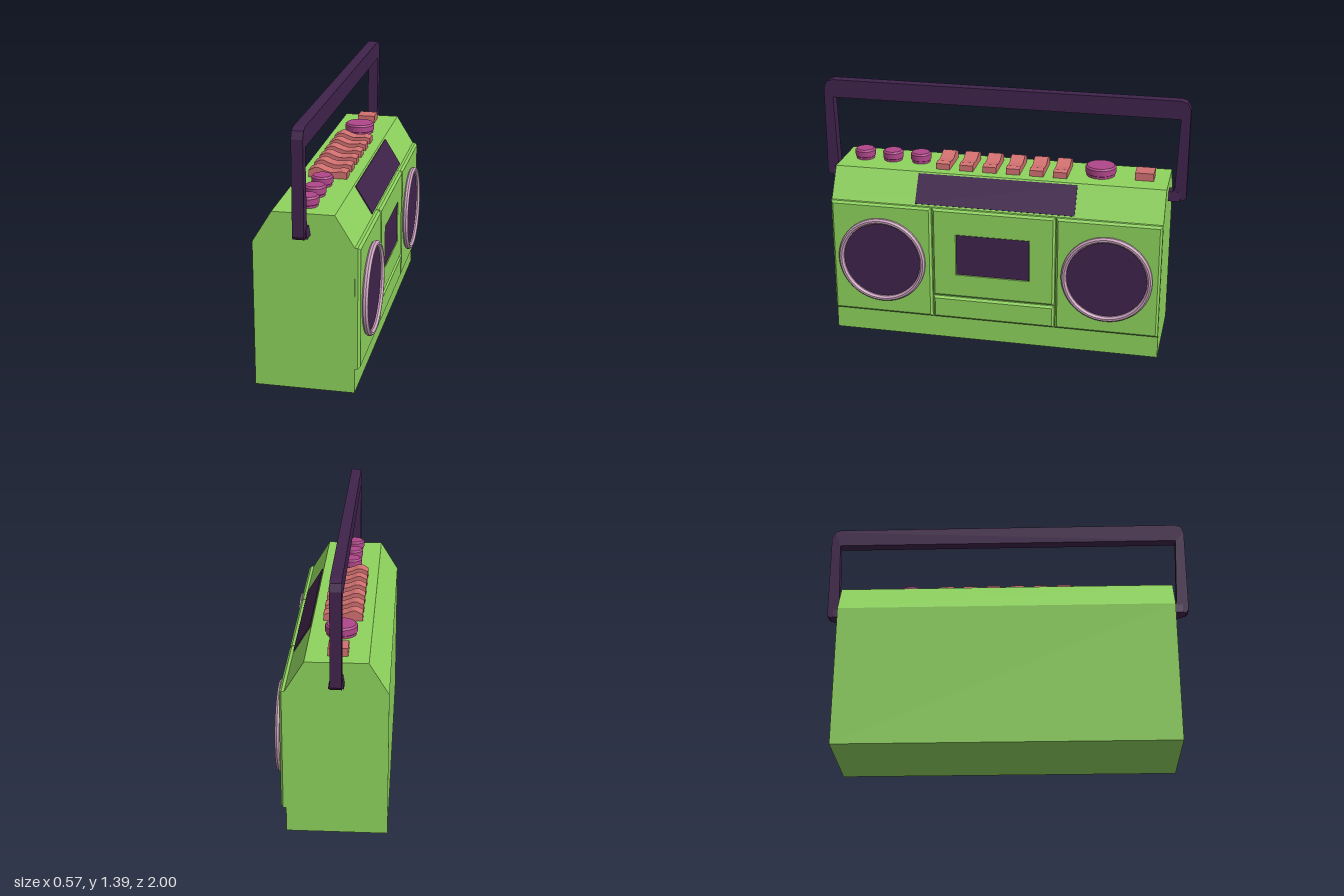
import * as THREE from 'three';
import { toCreasedNormals } from 'three/addons/utils/BufferGeometryUtils.js';

const mat = (name, color) => {
  const m = new THREE.MeshStandardMaterial({ color });
  m.name = name;
  return m;
};

const polygon = (pts) => new THREE.Shape(pts.map(([x, y]) => new THREE.Vector2(x, y)));

// Side profile (x, y) swept along z, centred on z
const sweepZ = (pts, length, z = 0) =>
  new THREE.ExtrudeGeometry(polygon(pts), { depth: length, bevelEnabled: false })
    .translate(0, 0, z - length / 2);

const rect = (z0, z1, y0, y1) => [[z0, y0], [z1, y0], [z1, y1], [z0, y1]];

export function createModel() {
  const group = new THREE.Group();
  group.name = 'portableRadio';

  const green = mat('caseGreen', 0x8fd45e);
  const dark = mat('darkPurple', 0x40234c);
  const salmon = mat('keySalmon', 0xd27070);
  const magenta = mat('knobMagenta', 0xb0468a);
  const pink = mat('ringPink', 0xc9a2bd);

  const add = (name, geometry, material, x = 0, y = 0, z = 0) => {
    const m = new THREE.Mesh(geometry, material);
    m.name = name;
    m.position.set(x, y, z);
    group.add(m);
    return m;
  };

  // Case with sloped shoulders
  add('case', sweepZ([
    [-0.285, 0.004], [0.228, 0.004], [0.228, 0.783], [0.13, 0.943], [-0.185, 0.943], [-0.285, 0.78],
  ], 1.81), green);

  // Raised front panels with bevelled edges, optionally with an opening
  const panel = (name, z0, z1, y0, y1, opening) => {
    const b = 0.012;
    const shape = polygon(rect(-z1 + b, -z0 - b, y0 + b, y1 - b));
    if (opening) {
      const pts = rect(...opening).map(([a, c]) => new THREE.Vector2(a, c));
      shape.holes.push(new THREE.Path(pts.reverse()));
    }
    const g = new THREE.ExtrudeGeometry(shape, {
      depth: 0.03, bevelEnabled: true, bevelSize: b, bevelThickness: b, bevelSegments: 1,
    });
    add(name, g.rotateY(Math.PI / 2), green, 0.213);
  };
  panel('leftSpeakerPanel', 0.342, 0.904, 0.135, 0.783);
  panel('rightSpeakerPanel', -0.904, -0.342, 0.135, 0.783);
  panel('cassetteDoor', -0.338, 0.338, 0.268, 0.783, [-0.207, 0.202, 0.403, 0.642]);
  panel('lowerFrontPanel', -0.338, 0.338, 0.135, 0.264);

  // Cassette window
  add('cassetteWindow', new THREE.BoxGeometry(0.008, 0.24, 0.41), dark, 0.248, 0.522, 0.002);

  // Tuning display lying on the front slope
  const slope = Math.atan2(0.098, 0.16);
  const display = add('tuningDisplay', new THREE.BoxGeometry(0.008, 0.168, 0.87), dark, 0.18, 0.8633);
  display.rotation.z = slope;

  // Speakers
  const ringProfile = [
    [0.235, 0], [0.245, 0.012], [0.245, 0.024], [0.236, 0.035], [0.226, 0.035], [0.216, 0.024], [0.216, 0],
  ].map(([r, h]) => new THREE.Vector2(r, h));
  for (const side of [1, -1]) {
    const label = side > 0 ? 'left' : 'right';
    const ring = toCreasedNormals(new THREE.LatheGeometry(ringProfile, 48), 0.5);
    add(label + 'SpeakerRing', ring.rotateZ(-Math.PI / 2), pink, 0.25, 0.46, side * 0.62);
    const grille = new THREE.CylinderGeometry(0.218, 0.218, 0.014, 48);
    add(label + 'SpeakerGrille', grille.rotateZ(-Math.PI / 2), dark, 0.259, 0.46, side * 0.62);
  }

  // Tape keys with a wavy top
  const keyProfile = [
    [-0.13, 0.935], [0.075, 0.935], [0.075, 0.976], [0.045, 0.983], [0.02, 0.978], [-0.015, 0.976],
    [-0.045, 0.985], [-0.075, 0.998], [-0.095, 0.998], [-0.13, 0.98],
  ];
  for (let i = 0; i < 6; i++) {
    add('tapeKey' + (i + 1), sweepZ(keyProfile, 0.075, 0.315 - i * 0.129), salmon);
  }
  add('powerButton', new THREE.BoxGeometry(0.1, 0.05, 0.1), salmon, -0.03, 0.96, -0.775);

  // Round knobs with a chamfered top and slimmer foot
  const knob = (name, r, z) => {
    const pts = [[r - 0.006, -0.01], [r - 0.006, 0.012], [r, 0.016], [r, 0.047], [r - 0.009, 0.056], [0, 0.056]]
      .map(([a, b]) => new THREE.Vector2(a, b));
    add(name, toCreasedNormals(new THREE.LatheGeometry(pts, 32), 0.5), magenta, -0.03, 0.943, z);
  };
  [0.785, 0.625, 0.465].forEach((z, i) => knob('smallKnob' + (i + 1), 0.056, z));
  knob('tuningKnob', 0.083, -0.535);

  // Carrying handle: one half outline, mirrored
  const half = [
    [0.95, 1.39], [0.983, 1.378], [1, 1.34], [1, 0.853], [0.985, 0.836], [0.9, 0.836],
    [0.9, 0.885], [0.925, 0.885], [0.936, 0.9], [0.95, 1.29],
  ];
  const outline = [...half, ...half.map(([z, y]) => [-z, y]).reverse()];
  const handle = new THREE.ExtrudeGeometry(polygon(outline), { depth: 0.058, bevelEnabled: false });
  add('handle', handle.rotateY(Math.PI / 2), dark, -0.059);

  // Flared handle hinges
  for (const side of [1, -1]) {
    const hinge = sweepZ([[-0.068, 0.834], [0.009, 0.834], [0.001, 0.885], [-0.06, 0.885]], 0.07, side * 0.934);
    add(side > 0 ? 'leftHinge' : 'rightHinge', hinge, dark);
  }

  return group;
}
